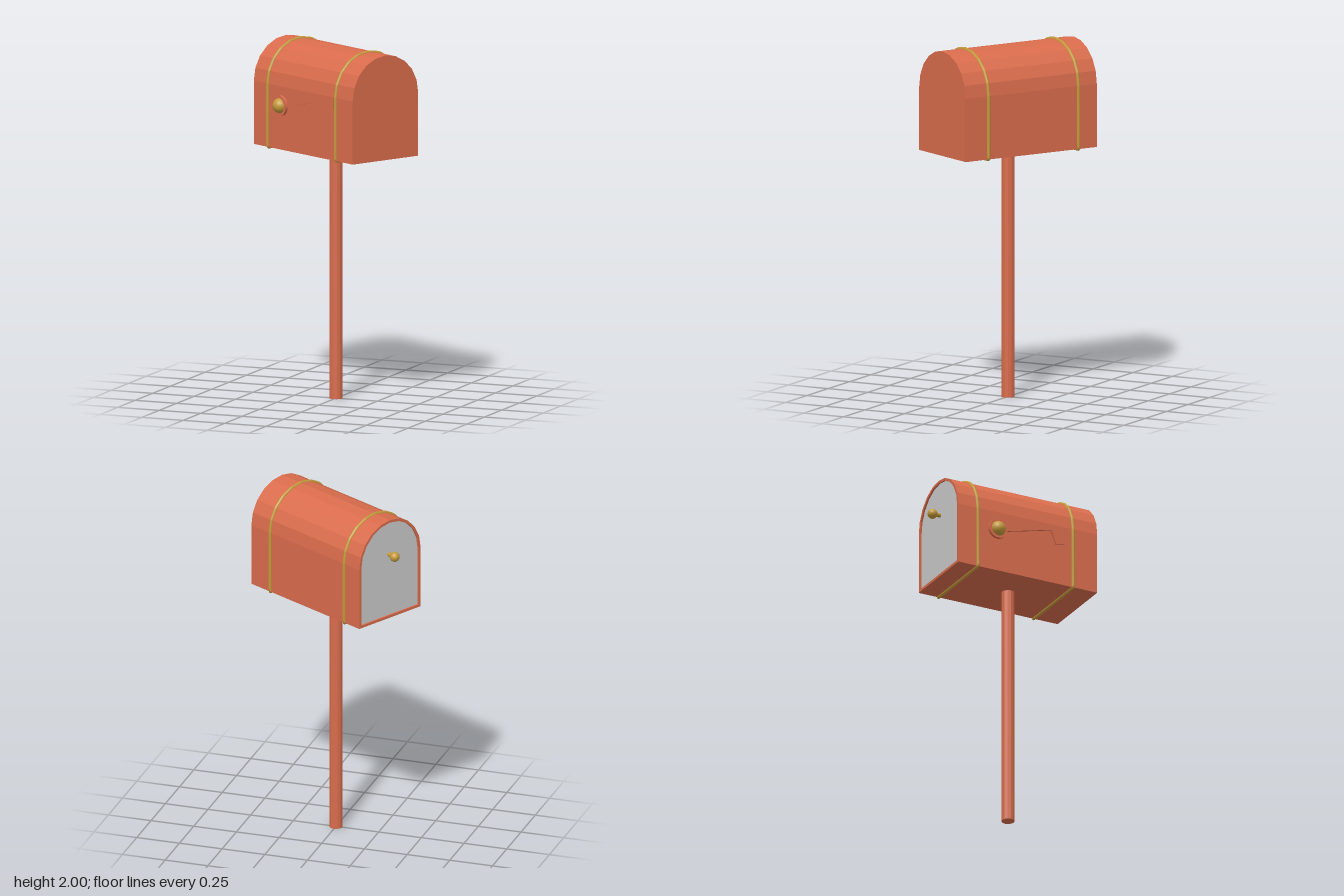
import * as THREE from 'three';

const W = 0.234;       // half width of the box
const L = 0.437;       // half length of the box
const BASE = 1.4;      // underside of the box
const SPRING = 1.756;  // height where the arch begins
const LIP = 0.015;     // rim thickness and door recess

const paint = (color, flatShading = false) =>
  new THREE.MeshStandardMaterial({ color, flatShading });
const red = paint(0xd96c4c, true);
const gold = paint(0xc49a3a);
const grey = paint(0xcccccc, true);

// Arched outline, drawn across the box, shrunk by an inset
function archPoints(inset = 0) {
  const r = W - inset;
  const pts = [new THREE.Vector2(-r, BASE + inset), new THREE.Vector2(r, BASE + inset)];
  for (let i = 0; i <= 10; i++) {
    const a = (i / 10) * Math.PI;
    pts.push(new THREE.Vector2(r * Math.cos(a), SPRING + r * Math.sin(a)));
  }
  return pts;
}

function add(parent, name, geometry, material) {
  const mesh = new THREE.Mesh(geometry, material);
  mesh.name = name;
  parent.add(mesh);
  return mesh;
}

// Extrude an outline along the length of the box, from x0 to x1
function alongBox(shape, x0, x1) {
  return new THREE.ExtrudeGeometry(shape, { depth: x1 - x0, bevelEnabled: false })
    .translate(0, 0, x0).rotateY(Math.PI / 2);
}

export function createModel() {
  const model = new THREE.Group();
  model.name = 'mailbox';

  // Post
  add(model, 'post', new THREE.CylinderGeometry(0.037, 0.037, BASE, 12), red)
    .position.y = BASE / 2;

  // The box sits turned on its post
  const box = new THREE.Group();
  box.name = 'box';
  box.rotation.y = -0.492;
  model.add(box);

  // Body, with a raised rim around the recessed door
  add(box, 'body', alongBox(new THREE.Shape(archPoints()), -L + LIP, L), red);
  const rim = new THREE.Shape(archPoints());
  rim.holes.push(new THREE.Path(archPoints(LIP)));
  add(box, 'doorRim', alongBox(rim, -L, -L + LIP), red);
  add(box, 'door', alongBox(new THREE.Shape(archPoints(LIP)), -L + 0.01, -L + LIP), grey);

  // Door knob and its stem
  const stem = add(box, 'knobStem', new THREE.CylinderGeometry(0.012, 0.012, 0.05, 12), gold);
  stem.rotation.z = Math.PI / 2;
  stem.position.set(-L - 0.008, 1.78, 0);
  add(box, 'knob', new THREE.SphereGeometry(0.028, 20, 14), gold)
    .position.set(-0.475, 1.78, 0);

  // Two straps wrapped around the body
  for (const x of [-0.314, 0.285]) {
    const pts = archPoints().map(p => new THREE.Vector3(x, p.y, p.x));
    const path = new THREE.CurvePath();
    pts.forEach((p, i) => path.add(new THREE.LineCurve3(p, pts[(i + 1) % pts.length])));
    add(box, 'strap', new THREE.TubeGeometry(path, 140, 0.01, 8, true), gold);
  }

  // Signal flag on the side: pivot plate, boss and bent arm
  const flag = new THREE.Group();
  flag.name = 'flag';
  box.add(flag);
  const plate = add(flag, 'flagPlate', new THREE.CylinderGeometry(0.057, 0.057, 0.02, 24), red);
  plate.rotation.x = Math.PI / 2;
  plate.position.set(-0.192, 1.65, W + 0.006);
  add(flag, 'flagBoss', new THREE.SphereGeometry(0.043, 20, 14), gold)
    .position.set(-0.192, 1.65, W + 0.01);
  const arm = new THREE.Shape([
    [-0.19, 1.633], [0.143, 1.716], [0.171, 1.637], [0.228, 1.648], [0.211, 1.748], [-0.19, 1.65],
  ].map(([x, y]) => new THREE.Vector2(x, y)));
  add(flag, 'flagArm',
    new THREE.ExtrudeGeometry(arm, { depth: 0.01, bevelEnabled: false }).translate(0, 0, W + 0.002), red);

  return model;
}
